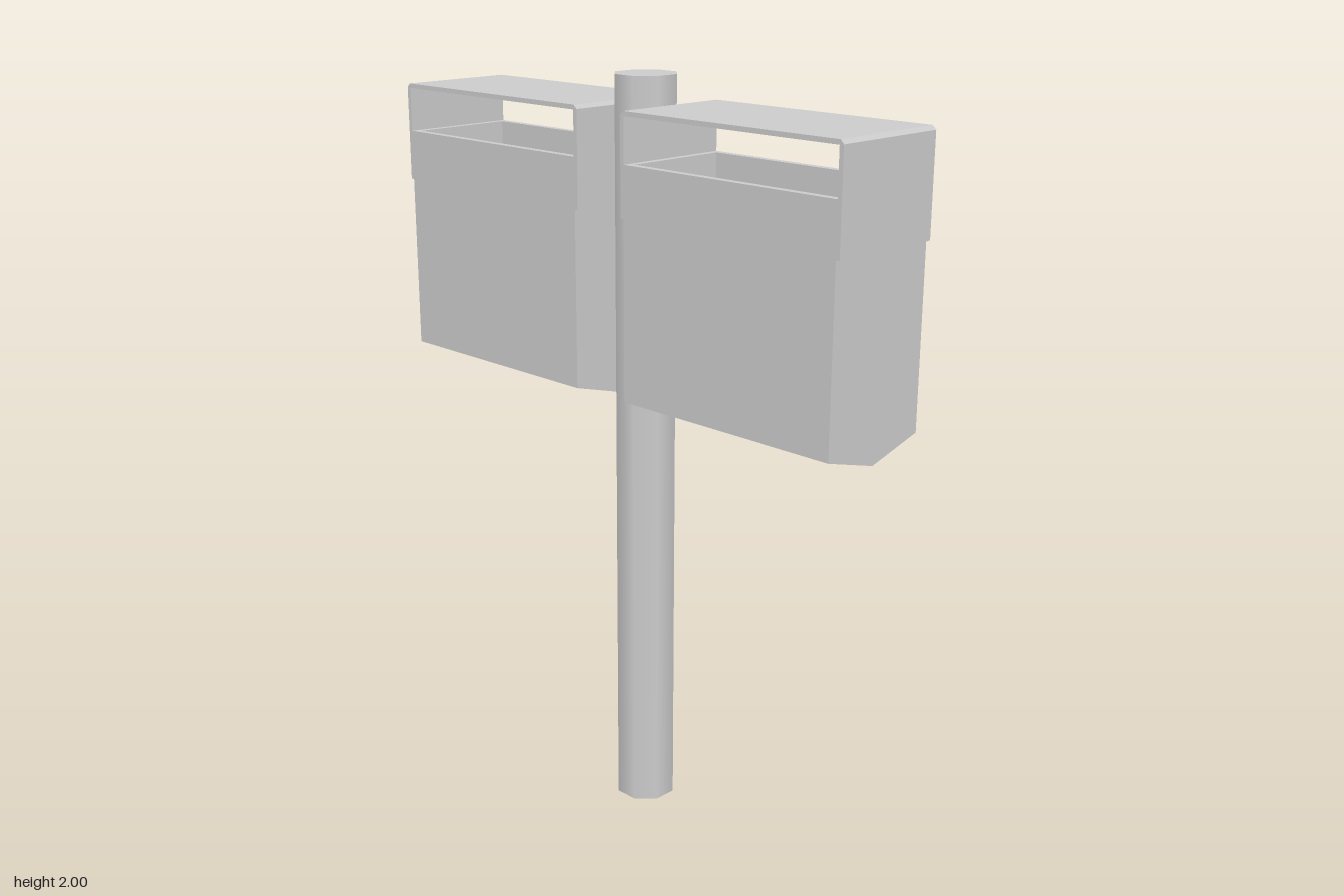
import * as THREE from 'three';

const DEPTH = 0.326;            // front to back size of bins and hoods
const H = DEPTH / 2;
const BIN_W = 0.667, HOOD_W = 0.688, WALL = 0.02;
const material = new THREE.MeshStandardMaterial({ color: 0xcccccc });

function mesh(name, geometry) {
  const m = new THREE.Mesh(geometry, material);
  m.name = name;
  return m;
}

// Extrude a 2D outline, centred along its depth
function extrude(points, depth, steps = 1) {
  const shape = new THREE.Shape(points.map(([x, y]) => new THREE.Vector2(x, y)));
  const g = new THREE.ExtrudeGeometry(shape, { depth, steps, bevelEnabled: false });
  return g.translate(0, 0, -depth / 2);
}

// Open-topped bin with a V-shaped floor
function createBin() {
  const bin = new THREE.Group();
  bin.name = 'bin';
  const top = 1.8, side = 1.2, keel = 1.155, i = H - WALL;
  const outer = [[-H, top], [-H, side], [0, keel], [H, side], [H, top]];
  const inner = [[i, top], [i, side + WALL], [0, keel + WALL], [-i, side + WALL], [-i, top]];
  bin.add(mesh('trough', extrude([...outer, ...inner], BIN_W - 2 * WALL).rotateY(Math.PI / 2)));
  for (const s of [-1, 1]) {
    const panel = mesh('endPanel', extrude(outer, WALL).rotateY(Math.PI / 2));
    panel.position.x = s * (BIN_W - WALL) / 2;
    bin.add(panel);
  }
  return bin;
}

// Bent sheet hood, open front and back, with bowed lower edges
function createHood() {
  const w = HOOD_W / 2, t = 0.012, c = 0.01, top = 1.928, low = 1.667;
  const g = extrude([
    [-w, low], [-w + t, low], [-w + t, top - t], [w - t, top - t], [w - t, low],
    [w, low], [w, top - c], [w - c, top], [-w + c, top], [-w, top - c],
  ], DEPTH, 8);
  const p = g.attributes.position;
  for (let k = 0; k < p.count; k++) {
    if (p.getY(k) < 1.7) p.setY(k, low - 0.009 * (1 - (p.getZ(k) / H) ** 2));
  }
  g.computeVertexNormals();
  return mesh('hood', g);
}

export function createModel() {
  const model = new THREE.Group();
  model.name = 'twinBinPost';

  // Eight-sided post, capped on top and open below
  const r = 0.077 / Math.cos(Math.PI / 8);
  const post = mesh('post', new THREE.CylinderGeometry(r, r, 2, 8, 1, true).rotateY(Math.PI / 8));
  post.position.y = 1;
  const cap = mesh('postCap', new THREE.CircleGeometry(r, 8).rotateX(-Math.PI / 2).rotateY(Math.PI / 8));
  cap.position.y = 2;
  model.add(post, cap);

  // One hooded bin on each side of the post
  for (const s of [-1, 1]) {
    const unit = new THREE.Group();
    unit.name = s > 0 ? 'leftBin' : 'rightBin';
    unit.add(createBin(), createHood());
    unit.position.x = s * 0.422;
    model.add(unit);
  }
  return model;
}
